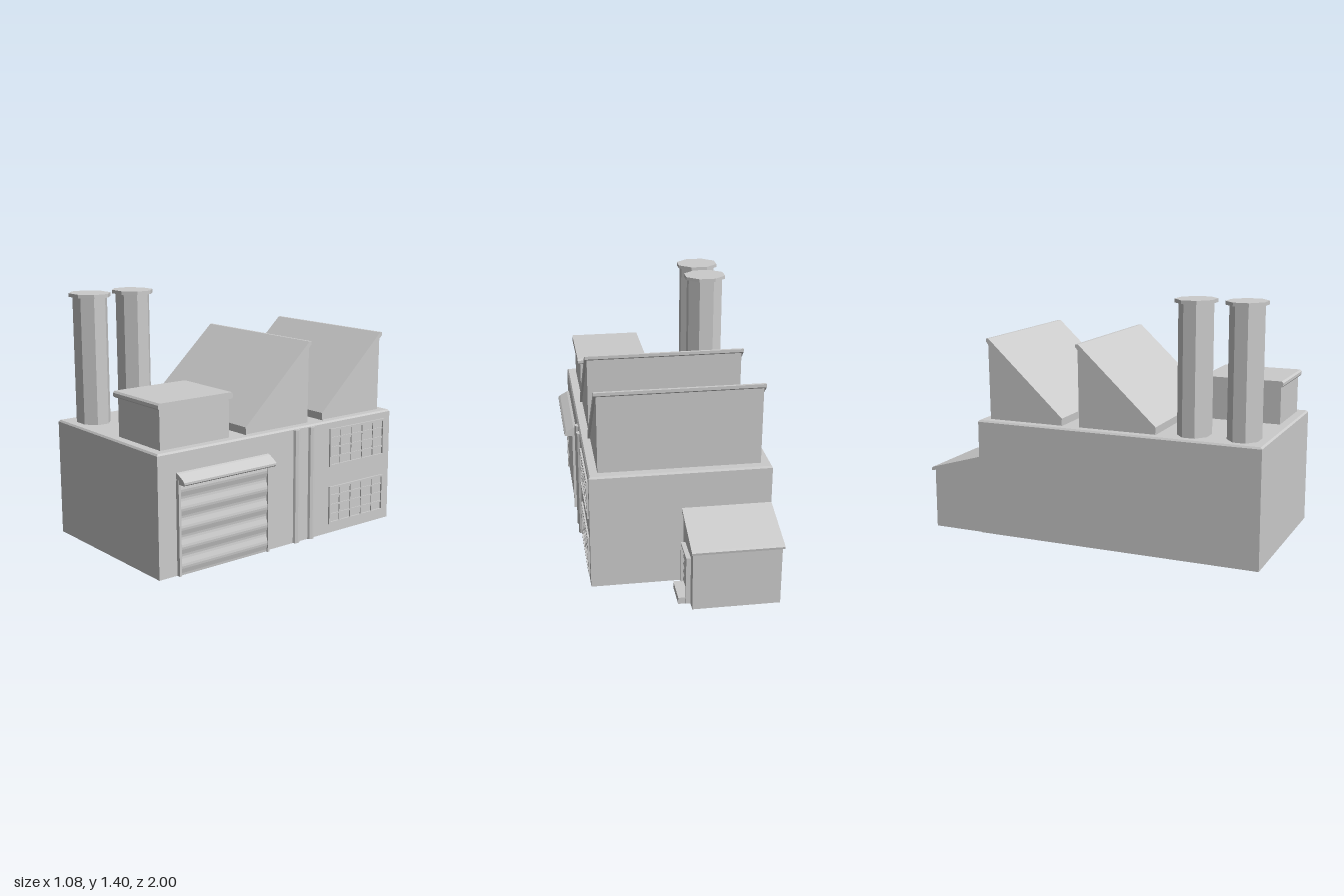
import * as THREE from 'three';

const grey = new THREE.MeshStandardMaterial({ color: 0xcccccc, flatShading: true });

export function createModel() {
  const model = new THREE.Group();
  model.name = 'factory';

  const add = (name, geometry, parent = model) => {
    const mesh = new THREE.Mesh(geometry, grey);
    mesh.name = name;
    parent.add(mesh);
    return mesh;
  };
  const group = (name) => {
    const g = new THREE.Group();
    g.name = name;
    model.add(g);
    return g;
  };
  // Box given by its limits on each axis
  const box = (name, [x0, x1], [y0, y1], [z0, z1], parent) => add(name,
    new THREE.BoxGeometry(x1 - x0, y1 - y0, z1 - z0)
      .translate((x0 + x1) / 2, (y0 + y1) / 2, (z0 + z1) / 2), parent);
  const extrude = (points, depth) => new THREE.ExtrudeGeometry(
    new THREE.Shape(points.map(([a, b]) => new THREE.Vector2(a, b))), { depth, bevelEnabled: false });
  // (z, y) profile extruded across x
  const acrossX = (name, points, x0, x1, parent) => add(name,
    extrude(points, x1 - x0).rotateY(-Math.PI / 2).translate(x1, 0, 0), parent);
  // (x, y) profile extruded along z
  const alongZ = (name, points, z0, z1, parent) => add(name,
    extrude(points, z1 - z0).translate(0, 0, z0), parent);
  // Rippled shutter profile: flat back, wavy face
  const ripples = (xBack, xFace, y0, y1, count, depth) => {
    const points = [[xBack, y1], [xBack, y0]];
    const n = count * 8;
    for (let i = 0; i <= n; i++) {
      points.push([xFace - depth * Math.cos((i / 8) * Math.PI * 2), y0 + (y1 - y0) * i / n]);
    }
    return points;
  };

  // Main hall with a small chamfer around its roof
  const hall = new THREE.BoxGeometry(1.005, 0.672, 1.675, 1, 2, 1).translate(-0.0375, 0.336, 0.1625);
  const p = hall.attributes.position;
  for (let i = 0; i < p.count; i++) {
    const y = p.getY(i);
    if (y > 0.6) {
      p.setX(i, p.getX(i) - Math.sign(p.getX(i)) * 0.008);
      p.setZ(i, p.getZ(i) - Math.sign(p.getZ(i)) * 0.008);
    } else if (y > 0.1) p.setY(i, 0.662);
  }
  add('mainHall', hall);

  // Two sawtooth roofs
  for (const z of [0, -0.56]) {
    const tooth = group('sawtoothRoof');
    acrossX('sawtoothBody', [[0.385, 0.66], [0.385, 0.69], [-0.068, 1.12], [-0.062, 0.66]], -0.485, 0.412, tooth);
    acrossX('sawtoothSlab', [[0.395, 0.67], [0.397, 0.715], [-0.06, 1.138], [-0.076, 1.138], [-0.076, 1.12], [0.37, 0.7]],
      -0.496, 0.425, tooth);
    tooth.position.z = z;
  }

  // Eight-sided chimneys with flat caps
  const octagon = (rx, rz, y0, y1) => new THREE.CylinderGeometry(1, 1, y1 - y0, 8)
    .rotateY(Math.PI / 8)
    .scale(rx / Math.cos(Math.PI / 8), 1, rz / Math.cos(Math.PI / 8))
    .translate(0, (y0 + y1) / 2, 0);
  for (const z of [0.58, 0.86]) {
    const chimney = group('chimney');
    add('chimneyShaft', octagon(0.105, 0.085, 0.66, 1.39), chimney);
    add('chimneyCap', octagon(0.122, 0.104, 1.385, 1.405), chimney);
    chimney.position.set(-0.384, 0, z);
  }

  // Rooftop cabin
  box('cabin', [0.022, 0.41], [0.66, 0.89], [0.5, 0.945]);
  acrossX('cabinRoof', [[0.483, 0.895], [0.49, 0.887], [0.955, 0.887], [0.962, 0.895], [0.962, 0.912], [0.953, 0.922],
    [0.492, 0.922], [0.483, 0.912]], 0.0, 0.426);

  // Loading door: rippled shutter, jambs and sloping awning
  const door = group('loadingDoor');
  alongZ('shutter', ripples(0.455, 0.48, 0, 0.52, 5, 0.005), 0.29, 0.875, door);
  for (const z of [0.278, 0.873]) box('jamb', [0.455, 0.488], [0, 0.52], [z, z + 0.014], door);
  alongZ('awning', [[0.455, 0.5], [0.53, 0.5], [0.536, 0.506], [0.536, 0.518], [0.525, 0.528], [0.48, 0.553], [0.455, 0.56]],
    0.272, 0.885, door);

  // Drainpipes
  for (const z of [0.066, -0.045]) {
    add('drainpipe', new THREE.CylinderGeometry(0.023, 0.023, 0.66, 8).translate(0.462, 0.33, z));
  }

  // Two gridded windows
  for (const y of [0.055, 0.4]) {
    const win = group('window');
    const h = 0.225, z0 = -0.625, w = 0.44, t = 0.012;
    for (const dy of [0, h - t]) box('windowRail', [0.455, 0.475], [y + dy, y + dy + t], [z0, z0 + w], win);
    for (const dz of [0, w - t]) box('windowStile', [0.455, 0.475], [y, y + h], [z0 + dz, z0 + dz + t], win);
    for (let i = 1; i < 5; i++) {
      const z = z0 + w * i / 5;
      box('mullion', [0.455, 0.471], [y, y + h], [z - 0.005, z + 0.005], win);
    }
    for (let i = 1; i < 4; i++) {
      const yy = y + h * i / 4;
      box('glazingBar', [0.455, 0.471], [yy - 0.005, yy + 0.005], [z0, z0 + w], win);
    }
  }

  // Rear annex with a lean-to roof
  acrossX('annex', [[-0.67, 0], [-0.67, 0.445], [-0.978, 0.352], [-0.978, 0]], -0.533, -0.05);
  acrossX('annexRoof', [[-0.67, 0.438], [-0.67, 0.456], [-0.99, 0.363], [-1, 0.355], [-0.998, 0.342], [-0.985, 0.343]],
    -0.54, -0.04);

  // Annex side door with its step
  const side = group('sideDoor');
  alongZ('sideShutter', ripples(-0.06, -0.041, 0.03, 0.272, 5, 0.004), -0.905, -0.75, side);
  for (const z of [-0.918, -0.752]) box('sideJamb', [-0.06, -0.025], [0, 0.275], [z, z + 0.012], side);
  box('sideLintel', [-0.06, -0.025], [0.268, 0.28], [-0.918, -0.74], side);
  box('step', [-0.06, 0.016], [0, 0.038], [-0.915, -0.745], side);

  return model;
}
